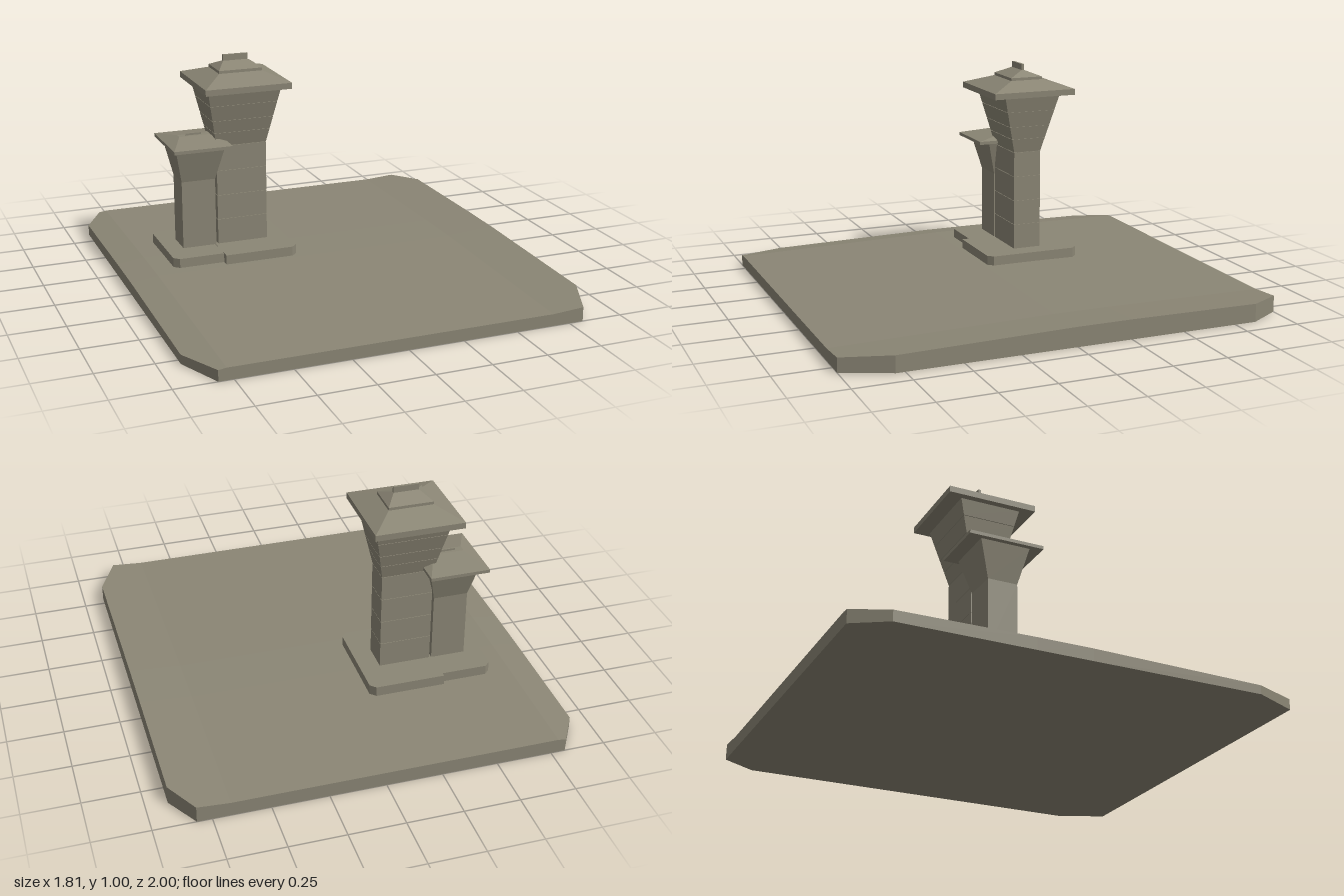
import * as THREE from 'three';

const stone = new THREE.MeshStandardMaterial({ color: 0x8b8675 });
stone.name = 'stone';

function addMesh(parent, name, geometry) {
  const mesh = new THREE.Mesh(geometry, stone);
  mesh.name = name;
  parent.add(mesh);
  return mesh;
}

// Four-sided block between two rectangles: lo and hi are [x0, x1, z0, z1] at heights y0 and y1
function frustum(parent, name, y0, lo, y1, hi) {
  const geo = new THREE.BoxGeometry(1, 1, 1);
  const p = geo.attributes.position;
  for (let i = 0; i < p.count; i++) {
    const top = p.getY(i) > 0;
    const r = top ? hi : lo;
    p.setXYZ(i, p.getX(i) < 0 ? r[0] : r[1], top ? y1 : y0, p.getZ(i) < 0 ? r[2] : r[3]);
  }
  geo.computeVertexNormals();
  return addMesh(parent, name, geo);
}

const block = (parent, name, y0, y1, r) => frustum(parent, name, y0, r, y1, r);
const mixRect = (a, b, t) => a.map((v, i) => v + (b[i] - v) * t);
const inset = (r, d) => [r[0] + d, r[1] - d, r[2] + d, r[3] - d];

// Wall made of stacked bands with fine grooves between them
function bandedWall(parent, name, lo, hi, levels) {
  const y0 = levels[0], y1 = levels[levels.length - 1], groove = 0.002;
  const at = (y) => mixRect(lo, hi, (y - y0) / (y1 - y0));
  frustum(parent, name + 'Core', y0, inset(lo, 0.004), y1, inset(hi, 0.004));
  for (let i = 0; i < levels.length - 1; i++) {
    const a = levels[i] + groove / 2, b = levels[i + 1] - groove / 2;
    frustum(parent, name + 'Band', a, at(a), b, at(b));
  }
}

// Piecewise linear lookup
function ramp(points, v) {
  for (let i = 1; i < points.length; i++) {
    const [a, ya] = points[i - 1], [b, yb] = points[i];
    if (v <= b) return ya + (yb - ya) * (v - a) / (b - a);
  }
  return points[points.length - 1][1];
}

// Ground slab with cut corners and a gently uneven top
function groundSlab() {
  const xs = [-0.905, -0.815, -0.78, 0.67, 0.815, 0.905];
  const zs = [-1, -0.85, -0.25, 0, 0.79, 1];
  const acrossX = [[-0.905, 0.055], [-0.78, 0.072], [0.67, 0.072], [0.905, 0.088]];
  const acrossZ = [[-1, -0.008], [-0.25, 0], [0, 0], [1, -0.018]];
  const geo = new THREE.BoxGeometry(1, 1, 1, 5, 1, 5).toNonIndexed();
  const p = geo.attributes.position;
  for (let i = 0; i < p.count; i++) {
    let x = xs[Math.round((p.getX(i) + 0.5) * 5)];
    const z = zs[Math.round((p.getZ(i) + 0.5) * 5)];
    if (Math.abs(z) === 1) x = THREE.MathUtils.clamp(x, -0.815, 0.815);
    const y = p.getY(i) > 0 ? ramp(acrossX, x) + ramp(acrossZ, z) : 0;
    p.setXYZ(i, x, y, z);
  }
  geo.computeVertexNormals();
  return geo;
}

// Plinth with cut corners on one side (side = 1 for +x, -1 for -x)
function plinth(parent, name, [x0, x1, z0, z1], side, y0, y1) {
  const c = 0.025, cl = side < 0 ? c : 0, cr = side > 0 ? c : 0;
  const outline = [
    [x0 + cl, z0], [x1 - cr, z0], [x1, z0 + cr], [x1, z1 - cr],
    [x1 - cr, z1], [x0 + cl, z1], [x0, z1 - cl], [x0, z0 + cl],
  ].map(([x, z]) => new THREE.Vector2(x, -z));
  const geo = new THREE.ExtrudeGeometry(new THREE.Shape(outline), { depth: y1 - y0, bevelEnabled: false });
  geo.rotateX(-Math.PI / 2);
  geo.translate(0, y0, 0);
  addMesh(parent, name, geo);
}

export function createModel() {
  const model = new THREE.Group();
  model.name = 'controlTowers';
  addMesh(model, 'groundSlab', groundSlab());

  // Main tower
  const main = new THREE.Group();
  main.name = 'mainTower';
  model.add(main);
  plinth(main, 'mainPlinth', [-0.45, -0.102, -0.48, -0.02], 1, 0.05, 0.116);
  const shaft = [-0.435, -0.195, -0.322, -0.187];
  const cabTop = [-0.49, -0.14, -0.396, -0.118];
  bandedWall(main, 'mainShaft', shaft, shaft, [0.115, 0.235, 0.352, 0.47, 0.588]);
  bandedWall(main, 'mainCab', shaft, cabTop, [0.588, 0.655, 0.716, 0.79, 0.864]);
  const eave = [-0.52, -0.112, -0.462, -0.055];
  const cap = [-0.418, -0.212, -0.336, -0.178];
  const ridge = [-0.375, -0.258, -0.263, -0.251];
  block(main, 'mainEave', 0.862, 0.89, eave);
  frustum(main, 'mainRoof', 0.89, eave, 0.93, cap);
  block(main, 'mainCapEdge', 0.93, 0.943, cap);
  frustum(main, 'mainCap', 0.943, cap, 0.972, ridge);
  block(main, 'mainRidgeFin', 0.965, 1.0, ridge);

  // Small tower
  const small = new THREE.Group();
  small.name = 'smallTower';
  model.add(small);
  plinth(small, 'smallPlinth', [-0.685, -0.45, -0.46, -0.055], -1, 0.05, 0.115);
  const smallShaft = [-0.605, -0.445, -0.322, -0.187];
  block(small, 'smallShaft', 0.113, 0.435, smallShaft);
  frustum(small, 'smallCab', 0.435, smallShaft, 0.6, [-0.64, -0.405, -0.37, -0.144]);
  const smallEave = [-0.662, -0.386, -0.43, -0.09];
  block(small, 'smallEave', 0.597, 0.612, smallEave);
  frustum(small, 'smallRoof', 0.612, smallEave, 0.636, [-0.595, -0.452, -0.275, -0.24]);
  block(small, 'smallRidgeFin', 0.63, 0.645, [-0.56, -0.487, -0.261, -0.254]);

  return model;
}
